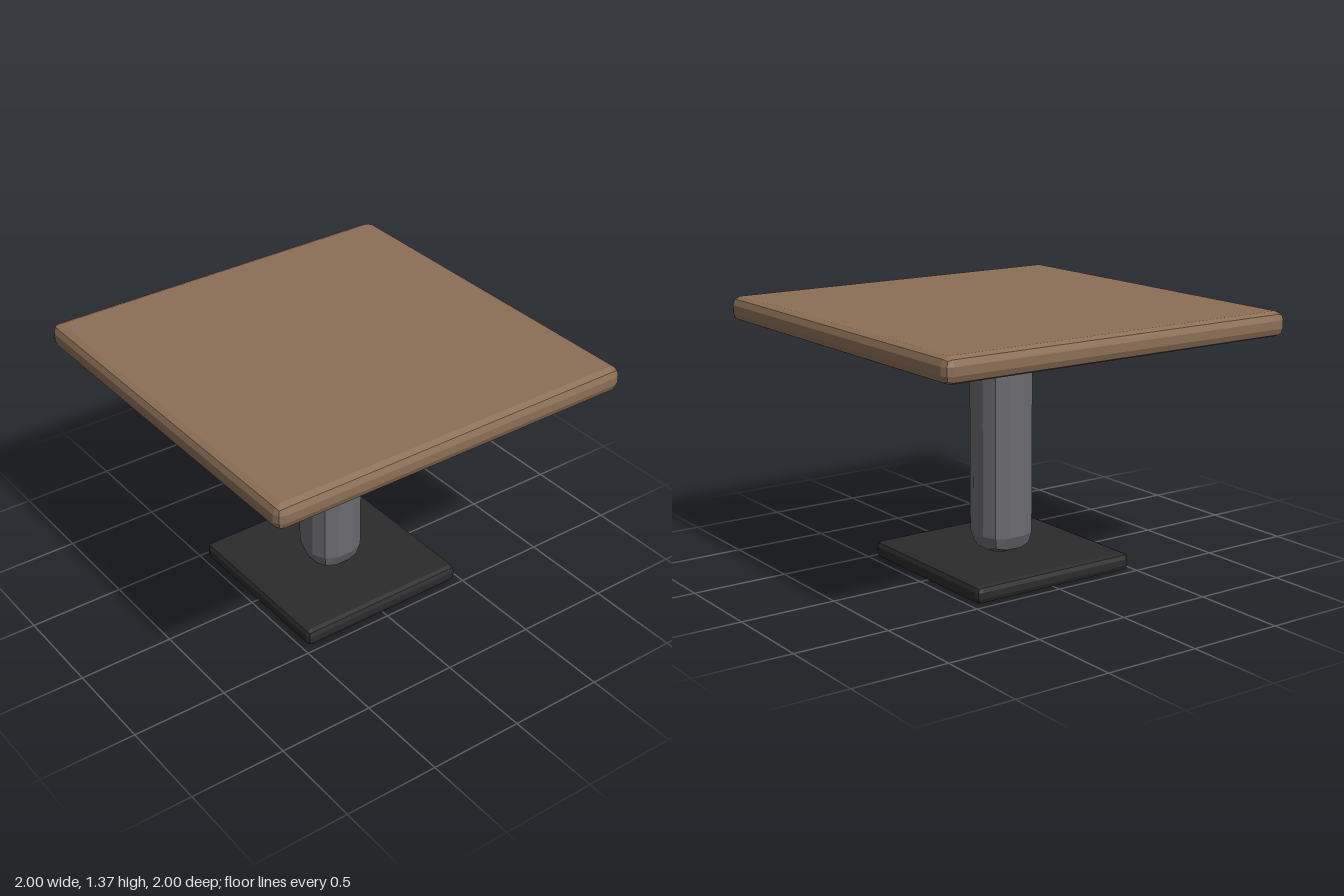
import * as THREE from 'three';
import { RoundedBoxGeometry } from 'three/addons/geometries/RoundedBoxGeometry.js';

const material = (name, color) => {
  const m = new THREE.MeshStandardMaterial({ color });
  m.name = name;
  return m;
};

// Square block from y0 to y1 with faceted two-step bevels on every edge.
function bevelledBlock(name, half, y0, y1, bevel, mat) {
  const geometry = new RoundedBoxGeometry(half * 2, y1 - y0, half * 2, 1, bevel);
  geometry.computeVertexNormals(); // unindexed, so each facet becomes flat
  const mesh = new THREE.Mesh(geometry, mat);
  mesh.name = name;
  mesh.position.y = (y0 + y1) / 2;
  return mesh;
}

export function createModel() {
  const wood = material('brown wood', 0x8b6f56);
  const steel = material('grey metal', 0x6b6a70);
  const iron = material('black metal', 0x2b2b2b);
  const green = material('green plate', 0x72c492);

  const table = new THREE.Group();
  table.name = 'pedestalTable';
  table.add(
    bevelledBlock('base', 0.473, 0, 0.092, 0.03, iron),
    // The rounded ends of the column sink into the base and the top
    bevelledBlock('column', 0.143, 0.08, 1.25, 0.1, steel),
    bevelledBlock('mountingPlate', 0.2, 1.17, 1.241, 0.03, green),
    bevelledBlock('tableTop', 1, 1.24, 1.367, 0.043, wood),
  );
  return table;
}
